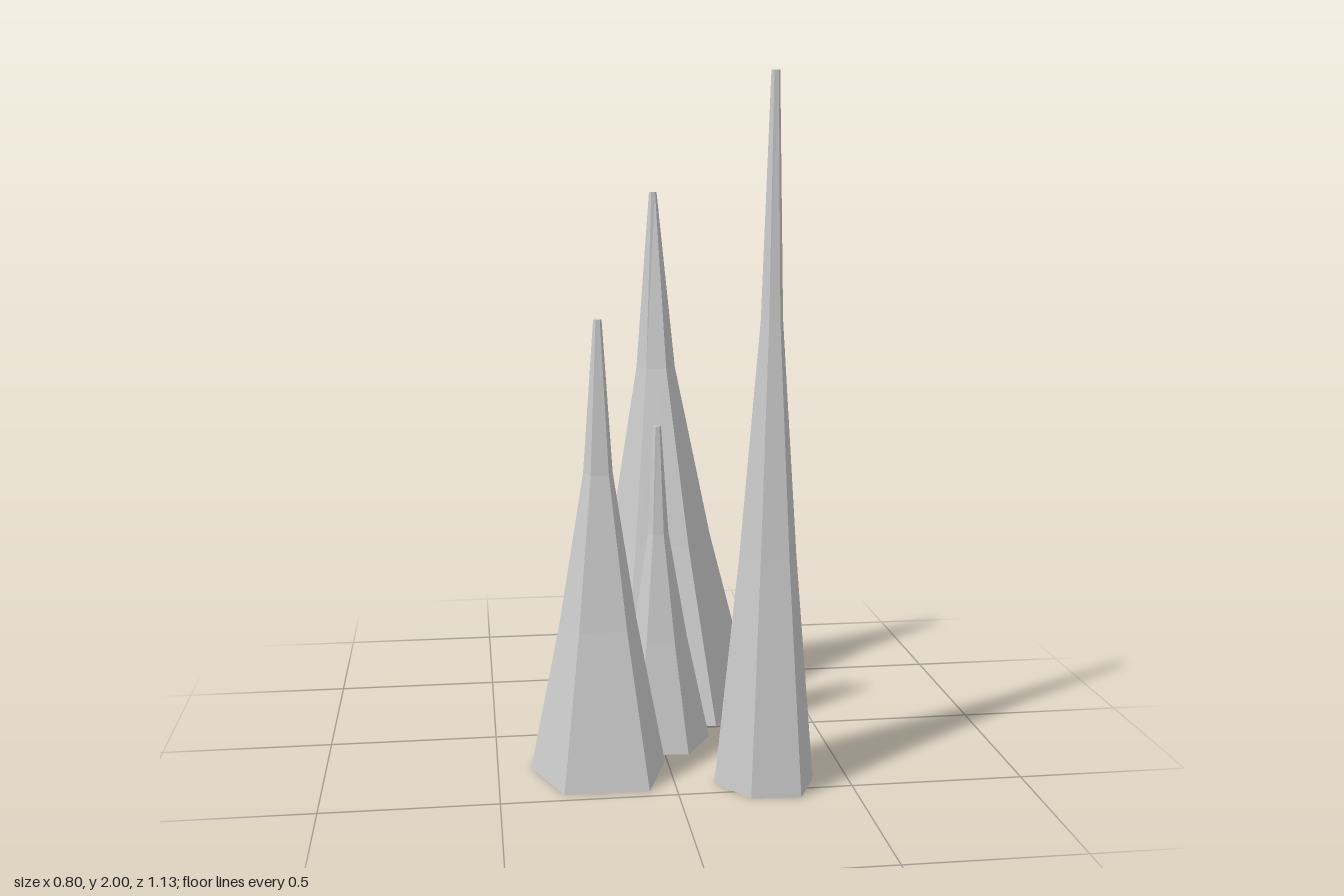
import * as THREE from 'three';

const SIDES = 6;
const TIP_RADIUS = 0.012;

// Each spire: centre, height, and the base radius at every 60 degrees from +x towards +z
const SPIRES = [
  { name: 'backSpire', x: 0.025, z: -0.29, height: 1.66, radii: [0.33, 0.33, 0.245, 0.245, 0.32, 0.31] },
  { name: 'smallSpire', x: -0.008, z: 0.077, height: 0.98, radii: [0.162, 0.157, 0.143, 0.129, 0.149, 0.142] },
  { name: 'rightSpire', x: -0.2, z: 0.255, height: 1.32, radii: [0.193, 0.244, 0.239, 0.203, 0.222, 0.217] },
  { name: 'tallSpire', x: 0.265, z: 0.435, height: 2, radii: [0.135, 0.147, 0.135, 0.153, 0.152, 0.127] },
];

// Uneven hexagonal spike that narrows in a concave curve over three bands
function spireGeometry(height, radii) {
  const prism = new THREE.CylinderGeometry(1, 1, height, SIDES, 3, false, Math.PI / 2);
  prism.translate(0, height / 2, 0);
  const pos = prism.attributes.position;
  for (let i = 0; i < pos.count; i++) {
    const x = pos.getX(i), y = pos.getY(i), z = pos.getZ(i);
    if (Math.hypot(x, z) < 0.5) continue; // cap centres stay on the axis
    const corner = (Math.round(Math.atan2(z, x) / (Math.PI / 3)) + SIDES) % SIDES;
    const taper = Math.pow(Math.max(0, 1 - y / height), 1.4);
    const r = Math.max(TIP_RADIUS, radii[corner] * taper);
    pos.setXYZ(i, x * r, y, z * r);
  }
  const geometry = prism.toNonIndexed();
  geometry.computeVertexNormals();
  return geometry;
}

export function createModel() {
  const group = new THREE.Group();
  group.name = 'spireCluster';
  const material = new THREE.MeshStandardMaterial({ color: 0xcccccc, flatShading: true });
  for (const { name, x, z, height, radii } of SPIRES) {
    const spire = new THREE.Mesh(spireGeometry(height, radii), material);
    spire.name = name;
    spire.position.set(x, 0, z);
    group.add(spire);
  }
  return group;
}
